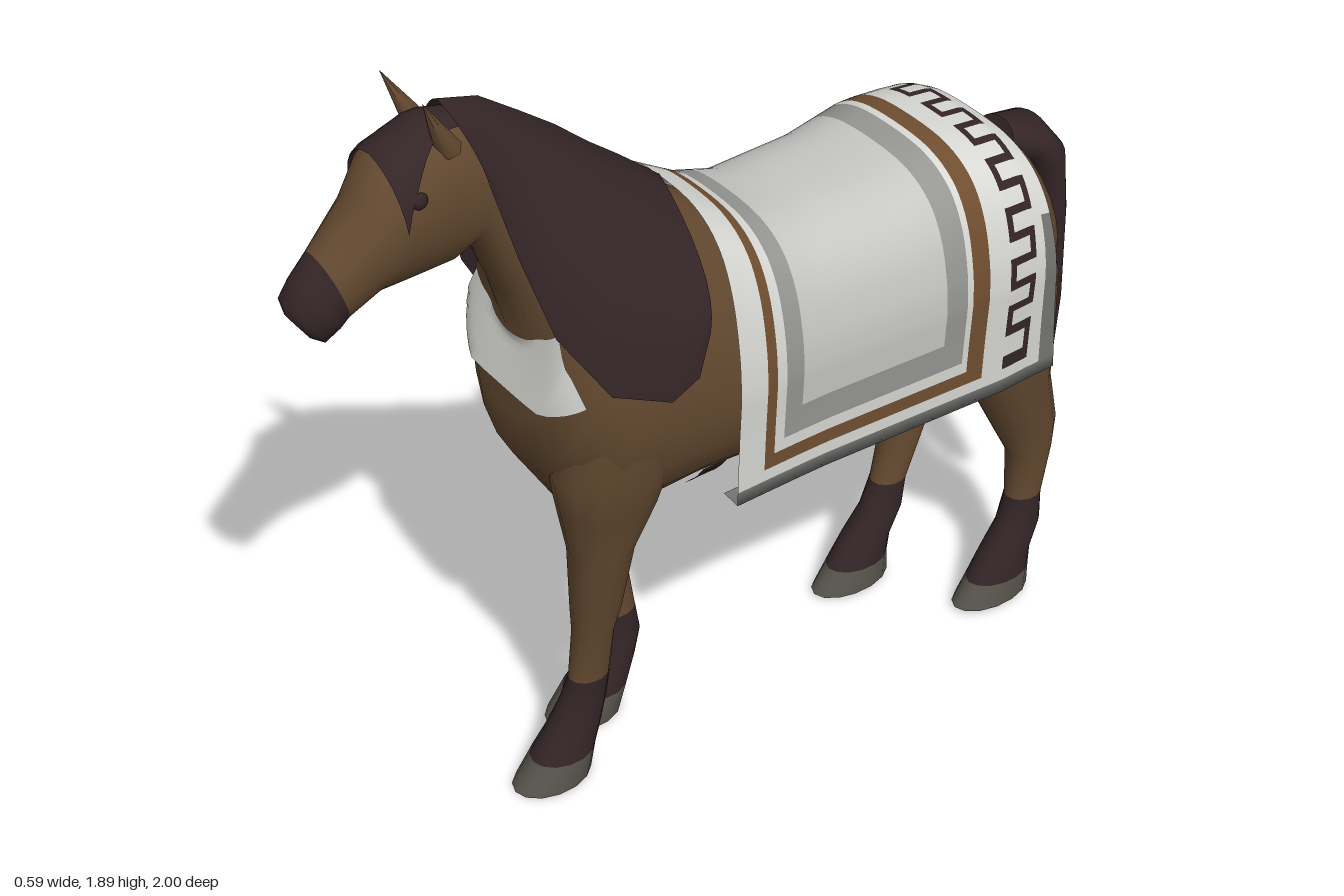
import * as THREE from 'three';

const COLORS = {
  coat: 0x634930, darkHair: 0x342527, hoof: 0x57534c, white: 0xd8d8d4,
  pale: 0xc6c6c4, grey: 0x969694, edgeGrey: 0x757573, trim: 0x704e30,
};
const V = (x, y, z) => new THREE.Vector3(x, y, z);
const SIDES = 24;

export function createModel() {
  const model = new THREE.Group();
  const mats = {};
  for (const [name, color] of Object.entries(COLORS)) {
    mats[name] = new THREE.MeshStandardMaterial({ color, side: THREE.DoubleSide });
    mats[name].name = name;
  }

  // Skin a list of rings; colorAt(i, j) names the colour of each quad
  function loft(name, rings, colorAt, closed = true) {
    const pos = [], buckets = {}, n = rings[0].length;
    rings.forEach(r => r.forEach(p => pos.push(p.x, p.y, p.z)));
    const put = (c, ...ids) => (buckets[c] ??= []).push(...ids);
    for (let i = 0; i < rings.length - 1; i++) {
      for (let j = 0; j < (closed ? n : n - 1); j++) {
        const k = (j + 1) % n, a = i * n + j, b = i * n + k;
        put(colorAt(i, j), a, b, b + n, a, b + n, a + n);
      }
    }
    if (closed) {
      for (const end of [0, rings.length - 1]) {
        const base = pos.length / 3, mid = V(0, 0, 0);
        rings[end].forEach(p => { pos.push(p.x, p.y, p.z); mid.addScaledVector(p, 1 / n); });
        pos.push(mid.x, mid.y, mid.z);
        for (let j = 0; j < n; j++) {
          const k = (j + 1) % n;
          const pair = end ? [base + j, base + k] : [base + k, base + j];
          put(colorAt(Math.max(end - 1, 0), j), base + n, ...pair);
        }
      }
    }
    const geo = new THREE.BufferGeometry(), index = [], list = [];
    geo.setAttribute('position', new THREE.Float32BufferAttribute(pos, 3));
    for (const [c, ids] of Object.entries(buckets)) {
      geo.addGroup(index.length, ids.length, list.length);
      for (const id of ids) index.push(id);
      list.push(mats[c]);
    }
    geo.setIndex(index);
    geo.computeVertexNormals();
    const mesh = new THREE.Mesh(geo, list.length > 1 ? list : list[0]);
    mesh.name = name;
    model.add(mesh);
    return mesh;
  }

  // Egg-shaped section between a lower and an upper point on the centre plane
  const section = ([z0, y0, z1, y1, w, k = 0], a) => {
    const t = (1 - Math.cos(a)) / 2;
    return V(w * Math.sin(a) * (1 + k * Math.cos(a)), y0 + (y1 - y0) * t, z0 + (z1 - z0) * t);
  };
  const ringOf = s => Array.from({ length: SIDES }, (_, j) => section(s, j / SIDES * Math.PI * 2));

  // Body, neck and head: [lower z, y, upper z, y, half width, egg]
  const body = [
    [-0.865, 0.98, -0.85, 1.12, 0.06, 0], [-0.85, 0.85, -0.81, 1.23, 0.18, 0],
    [-0.74, 0.79, -0.74, 1.30, 0.262, 0.05], [-0.60, 0.77, -0.62, 1.34, 0.268, 0.15],
    [-0.45, 0.765, -0.48, 1.355, 0.26, 0.2], [-0.20, 0.755, -0.20, 1.32, 0.248, 0.2],
    [0, 0.75, 0, 1.365, 0.24, 0.2], [0.13, 0.75, 0.10, 1.43, 0.242, 0.15],
    [0.28, 0.74, 0.20, 1.50, 0.25, 0.12], [0.42, 0.78, 0.28, 1.56, 0.245, 0.18],
    [0.51, 0.93, 0.34, 1.60, 0.21, 0.25], [0.53, 1.06, 0.38, 1.64, 0.17, 0.3],
    [0.49, 1.22, 0.42, 1.68, 0.12, 0.25], [0.53, 1.35, 0.48, 1.72, 0.092, 0.15],
    [0.59, 1.50, 0.56, 1.785, 0.082, 0], [0.645, 1.475, 0.68, 1.81, 0.095, -0.1],
    [0.75, 1.475, 0.785, 1.765, 0.103, -0.15], [0.81, 1.475, 0.835, 1.685, 0.087, -0.1],
    [0.88, 1.44, 0.93, 1.595, 0.067, 0], [0.895, 1.425, 0.975, 1.55, 0.064, 0],
    [0.93, 1.405, 1.0, 1.515, 0.058, 0], [0.955, 1.42, 0.995, 1.48, 0.03, 0],
  ];
  loft('body', body.map(ringOf), i => (i >= 18 ? 'darkHair' : 'coat'));

  // Thin patch raised off the body surface; at(u, v) gives [section, angle]
  function patch(name, color, at, nu, nv, lift = 0.009) {
    const rows = [];
    for (let i = 0; i <= nu; i++) {
      rows.push([]);
      for (let j = 0; j <= nv; j++) {
        const [t, a] = at(i / nu, j / nv * 2 - 1);
        const f = Math.floor(t), s = body[f].map((q, m) => q + (body[f + 1][m] - q) * (t - f));
        rows[i].push(section(s, a));
      }
    }
    const { position, normal } = loft(name, rows, () => color, false).geometry.attributes;
    position.array.forEach((q, i) => { position.array[i] = q + normal.array[i] * lift; });
  }
  patch('chestBlaze', 'white', (u, v) => {
    const low = 11.3 - 1.2 * v * v, high = 12.2 - 0.7 * v * v;
    return [low + (high - low) * u, v * 1.2];
  }, 8, 20);
  patch('forelock', 'darkHair', (u, v) =>
    [14.5 + u * (1.55 + 0.1 * Math.abs(v)), Math.PI + v * (0.45 + 0.95 * u * u)], 8, 12);
  patch('bellySpot', 'darkHair', (u, v) => [5.5 + u, 0.4 * v * Math.sqrt(0.15 + 3.4 * u * (1 - u))], 8, 6);
  for (const side of [1, -1]) {
    patch('girthSpot', 'darkHair', (u, v) => [6.9 + 0.45 * u, side * 0.7 + 0.16 * v], 3, 3);
  }

  // Mane draped over both sides: crest [z, y] and hem [z, y, x]
  const mane = [
    [0.13, 1.475, 0.18, 1.24, 0.245], [0.23, 1.56, 0.22, 1.155, 0.262],
    [0.30, 1.615, 0.29, 1.125, 0.265], [0.38, 1.685, 0.42, 1.18, 0.24],
    [0.46, 1.745, 0.505, 1.32, 0.175], [0.55, 1.81, 0.555, 1.50, 0.135],
    [0.64, 1.835, 0.60, 1.68, 0.112],
  ];
  loft('mane', mane.map(([z, y, hz, hy, hx]) => Array.from({ length: 17 }, (_, j) => {
    const s = 1 - j / 8, u = Math.abs(s);
    return V(Math.sign(s) * hx * Math.sin(u * Math.PI / 2), y + (hy - y) * u ** 1.2, z + (hz - z) * u);
  })), () => 'darkHair', false);

  // Tail, from the tip up to the root
  loft('tail', [
    [-0.915, 0.45, -0.975, 0.39, 0.03], [-0.905, 0.55, -0.99, 0.52, 0.055],
    [-0.905, 0.75, -1.0, 0.75, 0.065], [-0.89, 1.0, -0.99, 1.0, 0.07],
    [-0.87, 1.11, -0.965, 1.17, 0.078], [-0.84, 1.16, -0.90, 1.25, 0.083],
    [-0.77, 1.19, -0.80, 1.275, 0.06],
  ].map(ringOf), () => 'darkHair');

  // Legs: [y, centre z, half depth, centre x, half width], top to sole
  function leg(name, rows) {
    const rings = rows.map(([y, z, d, x, w]) => Array.from({ length: 14 }, (_, j) => {
      const a = j / 14 * Math.PI * 2;
      return V(x + w * Math.sin(a), y, z - d * Math.cos(a));
    }));
    const n = rows.length;
    loft(name, rings, i => (i >= n - 2 ? 'hoof' : rows[i][0] <= 0.29 ? 'darkHair' : 'coat'));
  }
  leg('frontLeftLeg', [
    [1.08, 0.33, 0.14, 0.125, 0.115], [0.92, 0.345, 0.145, 0.12, 0.115], [0.8, 0.345, 0.12, 0.105, 0.09],
    [0.68, 0.36, 0.078, 0.095, 0.07], [0.5, 0.365, 0.06, 0.075, 0.055], [0.42, 0.365, 0.05, 0.06, 0.044],
    [0.28, 0.37, 0.05, 0.045, 0.038], [0.2, 0.385, 0.06, 0.035, 0.043], [0.13, 0.41, 0.07, 0.03, 0.052],
    [0.07, 0.435, 0.08, 0.025, 0.062], [0, 0.465, 0.098, 0.022, 0.068],
  ]);
  leg('frontRightLeg', [
    [1.08, 0.31, 0.14, -0.125, 0.115], [0.92, 0.31, 0.145, -0.12, 0.115], [0.8, 0.28, 0.12, -0.12, 0.085],
    [0.68, 0.24, 0.078, -0.12, 0.066], [0.5, 0.235, 0.065, -0.11, 0.055], [0.42, 0.22, 0.05, -0.105, 0.044],
    [0.28, 0.2, 0.05, -0.1, 0.038], [0.2, 0.195, 0.06, -0.105, 0.043], [0.13, 0.22, 0.07, -0.11, 0.055],
    [0.07, 0.25, 0.08, -0.115, 0.068], [0, 0.285, 0.095, -0.117, 0.074],
  ]);
  leg('hindLeftLeg', [
    [1.1, -0.68, 0.13, 0.13, 0.11], [0.95, -0.69, 0.158, 0.14, 0.115], [0.8, -0.71, 0.145, 0.14, 0.1],
    [0.65, -0.755, 0.105, 0.14, 0.075], [0.5, -0.815, 0.085, 0.135, 0.055], [0.42, -0.838, 0.062, 0.13, 0.048],
    [0.28, -0.835, 0.048, 0.125, 0.04], [0.2, -0.82, 0.06, 0.13, 0.045], [0.13, -0.785, 0.07, 0.13, 0.05],
    [0.07, -0.765, 0.088, 0.13, 0.055], [0.01, -0.745, 0.108, 0.13, 0.06],
  ]);
  leg('hindRightLeg', [
    [1.1, -0.64, 0.14, -0.13, 0.11], [0.95, -0.62, 0.165, -0.14, 0.115], [0.8, -0.56, 0.135, -0.14, 0.1],
    [0.65, -0.595, 0.1, -0.135, 0.075], [0.5, -0.645, 0.08, -0.125, 0.055], [0.42, -0.66, 0.062, -0.12, 0.048],
    [0.28, -0.61, 0.048, -0.11, 0.04], [0.2, -0.59, 0.058, -0.11, 0.045], [0.13, -0.545, 0.068, -0.11, 0.05],
    [0.07, -0.52, 0.085, -0.11, 0.055], [0.01, -0.5, 0.108, -0.11, 0.06],
  ]);

  // Blanket: spine line and half width along z, a rounded drape, then a hem tucked under
  const along = (pts, z) => {
    let i = 0;
    while (i < pts.length - 2 && z > pts[i + 1][0]) i++;
    const [a, b] = [pts[i], pts[i + 1]];
    return a[1] + (b[1] - a[1]) * (z - a[0]) / (b[0] - a[0]);
  };
  const spine = [[-0.705, 1.335], [-0.66, 1.36], [-0.5, 1.378], [-0.35, 1.345], [-0.12, 1.343], [0, 1.385], [0.12, 1.46]];
  const spread = [[-0.74, 0.285], [-0.6, 0.293], [-0.4, 0.283], [-0.1, 0.268], [0.12, 0.27]];
  const TOP = 26;
  const drape = new THREE.SplineCurve([[0, 0], [0.2, 0.005], [0.4, 0.03], [0.6, 0.1], [0.77, 0.23],
    [0.9, 0.45], [0.98, 0.75], [1, 1]].map(p => new THREE.Vector2(...p))).getSpacedPoints(TOP);
  const lower = [1.03, 1.01, 0.99, 0.97, 0.95, 0.925, 0.9, 0.87, 0.835, 0.805, 0.77, 0.775];
  const zs = [-0.705, -0.685, -0.667, -0.651, -0.608, -0.592, -0.535, -0.49, -0.475, -0.42, -0.35, -0.28,
    -0.2, -0.12, -0.045, 0, 0.025, 0.05, 0.085, 0.12];
  const half = TOP + lower.length;
  const rows = zs.map((z, i) => Array.from({ length: half * 2 + 1 }, (_, j) => {
    const s = half - j, m = Math.abs(s), w = along(spread, z), top = along(spine, z);
    const x = m <= TOP ? drape[m].x : m === half ? 0.78 : 1 - 0.004 * (m - TOP);
    const y = m <= TOP ? top + (1.05 - top) * drape[m].y : lower[m - TOP - 1];
    const slant = i < 2 ? (y - top) * (0.09 - 0.05 * i) : 0;
    return V(Math.sign(s) * w * x, y, z + slant);
  }));
  loft('blanket', rows, (i, j) => {
    const z = (zs[i] + zs[i + 1]) / 2, y = (rows[i][j].y + rows[i][j + 1].y) / 2;
    const panelY = Math.abs(half - j - 0.5) < TOP ? 1.1 : y;
    const inside = (z0, z1, y0) => z > z0 && z < z1 && panelY > y0;
    if (y < 0.8 || (i === 0 && y < 1.2)) return 'edgeGrey';
    if (z < -0.535) {
      // Square meander along the rear panel: columns 2 to 4
      const step = j % 6;
      const dark = step % 3 === 0 ? i >= 2 && i <= 4 : i === (step < 3 ? 4 : 2);
      return dark && y > 0.835 ? 'darkHair' : 'white';
    }
    if (inside(-0.42, -0.045, 0.97)) return 'pale';
    if (inside(-0.475, 0, 0.9)) return 'grey';
    if (inside(-0.49, 0.025, 0.87)) return 'white';
    return inside(-0.535, 0.05, 0.835) ? 'trim' : 'white';
  }, false);

  // Ears and eyes
  for (const side of [1, -1]) {
    const ear = new THREE.Mesh(new THREE.ConeGeometry(0.036, 0.14, 7), mats.coat);
    ear.name = side > 0 ? 'leftEar' : 'rightEar';
    ear.scale.z = 0.75;
    ear.position.set(side * 0.066, 1.825, 0.685);
    ear.rotation.set(0.45, 0, -side * 0.16);
    const eye = new THREE.Mesh(new THREE.SphereGeometry(0.018, 12, 8), mats.darkHair);
    eye.name = side > 0 ? 'leftEye' : 'rightEye';
    eye.scale.x = 0.5;
    eye.position.set(side * 0.096, 1.695, 0.745);
    model.add(ear, eye);
  }
  return model;
}
